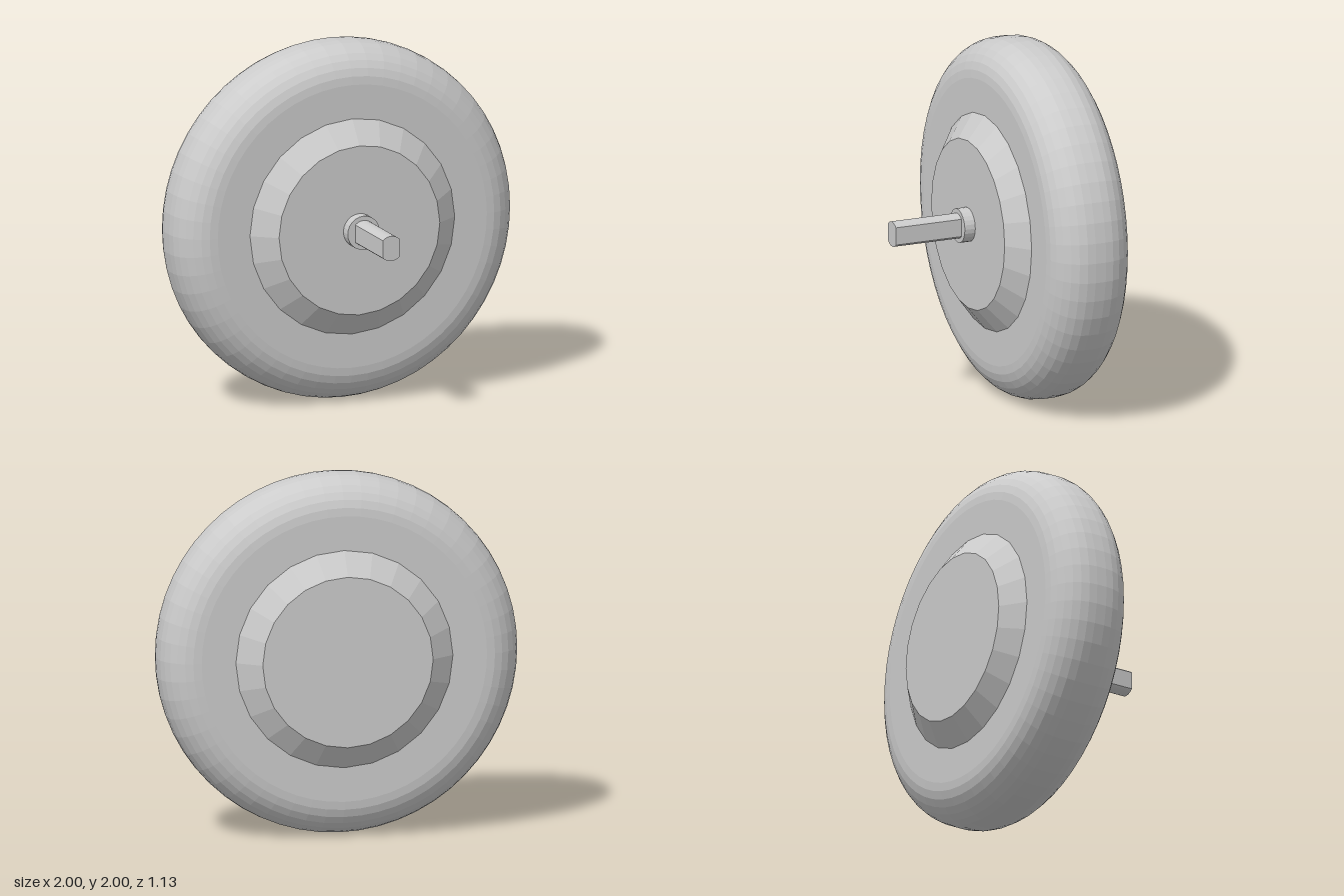
import * as THREE from 'three';

const material = new THREE.MeshStandardMaterial({ color: 0xcccccc, flatShading: true });

// Solid of revolution about the z axis; profile is [radius, z] from back to front
function turned(name, profile, segments) {
  const geometry = new THREE.LatheGeometry(profile.map(([r, z]) => new THREE.Vector2(r, z)), segments);
  geometry.rotateX(Math.PI / 2);
  const mesh = new THREE.Mesh(geometry, material);
  mesh.name = name;
  return mesh;
}

export function createModel() {
  const wheel = new THREE.Group();
  wheel.name = 'wheel';
  const back = -0.465, front = 0.005;

  // Tyre: flat sides with generously rounded shoulders
  const round = 0.205, steps = 7;
  const tyreProfile = [[0.55, back]];
  for (const [centre, start] of [[back + round, -Math.PI / 2], [front - round, 0]]) {
    for (let i = 0; i <= steps; i++) {
      const a = start + (i / steps) * Math.PI / 2;
      tyreProfile.push([1 - round + round * Math.cos(a), centre + round * Math.sin(a)]);
    }
  }
  tyreProfile.push([0.55, front]);
  wheel.add(turned('tyre', tyreProfile, 56));

  // Hub: bevelled cover on both sides
  wheel.add(turned('hub', [
    [0, -0.565], [0.475, -0.565], [0.605, back], [0.605, front], [0.475, 0.107], [0, 0.107],
  ], 24));

  // Collar at the foot of the axle
  wheel.add(turned('collar', [[0.095, 0.1], [0.095, 0.17], [0, 0.17]], 24));

  // Axle: round bar with a flat milled on each side
  const radius = 0.07, angle = Math.acos(0.05 / radius);
  const section = new THREE.Shape();
  section.absarc(0, 0, radius, angle, Math.PI - angle, false);
  section.absarc(0, 0, radius, Math.PI + angle, 2 * Math.PI - angle, false);
  section.closePath();
  const axle = new THREE.Mesh(
    new THREE.ExtrudeGeometry(section, { depth: 0.465, bevelEnabled: false, curveSegments: 6 }), material);
  axle.position.z = 0.1;
  axle.name = 'axle';
  wheel.add(axle);

  wheel.position.y = 1;
  const model = new THREE.Group();
  model.add(wheel);
  return model;
}
